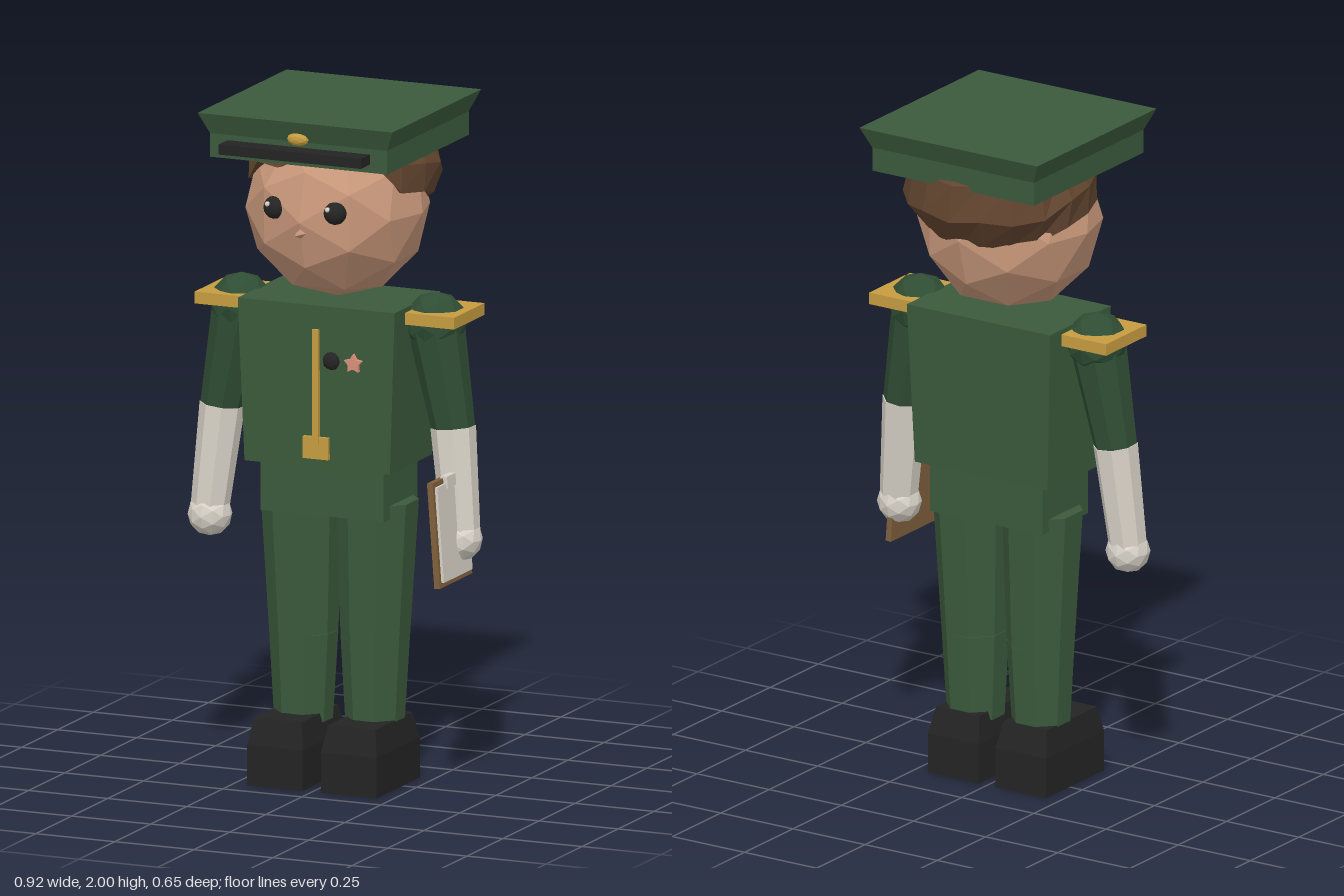
import * as THREE from 'three';

const mat = (name, color) => {
  const m = new THREE.MeshStandardMaterial({ color });
  m.name = name;
  return m;
};

// Faceted copy of a geometry
function flat(geo) {
  const g = geo.index ? geo.toNonIndexed() : geo;
  g.computeVertexNormals();
  return g;
}

// Surface through rings of equal point count (counter-clockwise from above, rings from bottom up)
function loft(rings, capped = true) {
  const n = rings[0].length, pos = [], idx = [];
  rings.forEach(r => r.forEach(p => pos.push(...p)));
  for (let k = 0; k < rings.length - 1; k++) {
    for (let i = 0; i < n; i++) {
      const a = k * n + i, b = k * n + (i + 1) % n;
      idx.push(a, b, b + n, a, b + n, a + n);
    }
  }
  if (capped) {
    const t = (rings.length - 1) * n;
    for (let i = 1; i < n - 1; i++) idx.push(0, i + 1, i, t, t + i, t + i + 1);
  }
  const g = new THREE.BufferGeometry();
  g.setAttribute('position', new THREE.Float32BufferAttribute(pos, 3));
  g.setIndex(idx);
  return flat(g);
}

// Tapered block from rows of [y, halfWidth, zBack, zFront]
const block = rows => loft(rows.map(([y, w, b, f]) =>
  [[-w, y, f], [w, y, f], [w, y, b], [-w, y, b]]));

const ball = (r, detail = 1) => flat(new THREE.IcosahedronGeometry(r, detail));

export function createModel() {
  const root = new THREE.Group();
  root.name = 'uniformedFigure';
  const green = mat('uniformGreen', 0x3b5a3c);
  const sleeve = mat('sleeveGreen', 0x2f4d34);
  const skin = mat('skin', 0xc8977a);
  const hairMat = mat('hairBrown', 0x62452f);
  hairMat.side = THREE.DoubleSide;
  const black = mat('black', 0x242424);
  const gold = mat('gold', 0xc69c40);
  const white = mat('gloveWhite', 0xd9d3c8);
  const wood = mat('boardBrown', 0x80603c);
  const pink = mat('medalPink', 0xd9907c);

  function add(name, geo, material, x = 0, y = 0, z = 0, parent = root) {
    const m = new THREE.Mesh(geo, material);
    m.name = name;
    m.position.set(x, y, z);
    parent.add(m);
    return m;
  }
  const box = (name, material, w, h, d, x, y, z, parent) =>
    add(name, new THREE.BoxGeometry(w, h, d), material, x, y, z, parent);

  // Eight-sided limb section from an upper point to a lower point
  function limb(name, material, top, bottom, rTop, rBottom) {
    const a = new THREE.Vector3(...top), b = new THREE.Vector3(...bottom);
    const dir = a.clone().sub(b);
    const geo = new THREE.CylinderGeometry(rTop, rBottom, dir.length(), 8);
    geo.rotateY(Math.PI / 8);
    const m = add(name, flat(geo), material);
    m.position.copy(a).add(b).multiplyScalar(0.5);
    m.quaternion.setFromUnitVectors(new THREE.Vector3(0, 1, 0), dir.normalize());
  }

  // Body
  add('jacket', block([[0.95, 0.23, -0.15, 0.143], [1.43, 0.248, -0.165, 0.15]]), green);
  add('hips', block([[0.8, 0.195, -0.125, 0.11], [0.96, 0.195, -0.125, 0.11]]), green);
  box('zip', gold, 0.02, 0.34, 0.02, 0, 1.19, 0.148);
  box('buckle', gold, 0.08, 0.065, 0.02, 0, 1.01, 0.146);
  add('button', ball(0.027), black, 0.047, 1.27, 0.148).scale.z = 0.6;

  // Star medal
  const star = new THREE.Shape();
  for (let i = 0; i < 10; i++) {
    const a = Math.PI / 2 + i * Math.PI / 5, r = i % 2 ? 0.016 : 0.029;
    star[i ? 'lineTo' : 'moveTo'](Math.cos(a) * r, Math.sin(a) * r);
  }
  add('medal', new THREE.ExtrudeGeometry(star, { depth: 0.018, bevelEnabled: false }),
    pink, 0.12, 1.27, 0.143);

  // Paired limbs
  for (const s of [1, -1]) {
    const side = s > 0 ? 'left' : 'right';
    limb(side + 'Thigh', green, [s * 0.12, 0.84, -0.013], [s * 0.113, 0.43, -0.012], 0.119, 0.1);
    limb(side + 'Shin', green, [s * 0.113, 0.43, -0.012], [s * 0.113, 0.17, -0.01], 0.1, 0.085);
    add(side + 'Shoe', block([[0, 0.088, -0.12, 0.18], [0.12, 0.088, -0.12, 0.18],
      [0.197, 0.075, -0.097, 0.16]]), black, s * 0.117);
    add(side + 'Shoulder', ball(0.091), sleeve, s * 0.307, 1.377, -0.008);
    box(side + 'Epaulette', gold, 0.155, 0.035, 0.21, s * 0.333, 1.403, -0.012);
    limb(side + 'UpperArm', sleeve, [s * 0.31, 1.36, -0.005], [s * 0.366, 1.07, 0], 0.083, 0.063);
    limb(side + 'Forearm', white, [s * 0.365, 1.075, 0], [s * 0.397, 0.77, 0.016], 0.066, 0.056);
    add(side + 'Hand', ball(0.065), white, s * 0.396, 0.752, 0.018);
  }

  // Clipboard in the left hand
  const clip = new THREE.Group();
  clip.name = 'clipboard';
  clip.position.set(0.391, 0.795, 0.082);
  clip.rotation.z = 0.075;
  root.add(clip);
  box('board', wood, 0.018, 0.31, 0.225, 0, 0, 0, clip);
  box('paper', white, 0.009, 0.28, 0.2, 0.0125, 0, 0, clip);
  box('clip', white, 0.022, 0.034, 0.075, 0.011, 0.143, 0.002, clip);

  // Head and face
  add('head', ball(0.268), skin, 0, 1.697, 0);
  const nose = new THREE.ConeGeometry(0.028, 0.08, 4);
  nose.rotateX(Math.PI / 2);
  add('nose', flat(nose), skin, 0, 1.665, 0.26);
  for (const s of [1, -1]) {
    add('eye', ball(0.034, 2), black, s * 0.095, 1.727, 0.226);
    add('eyeGlint', ball(0.008), white, s * 0.095 - 0.012, 1.741, 0.254);
  }

  // Hair: cap whose lower edge height follows the angle from the front
  const edge = [1.89, 1.89, 1.87, 1.77, 1.76, 1.74, 1.69, 1.68, 1.69, 1.675];
  const rings = [];
  for (let k = 0; k <= 5; k++) {
    const ring = [];
    for (let i = 0; i < 18; i++) {
      const a = i * Math.PI / 9, fringe = i === 16 || i === 17;
      const low = Math.asin(((fringe ? 1.84 : edge[Math.min(i, 18 - i)]) - 1.81) / 0.185);
      const e = low + (Math.PI / 2 - low) * Math.max(k - 1, 0) / 4;
      const c = Math.cos(e) * (k === 0 ? 0.85 : 1);
      ring.push([Math.sin(a) * c * 0.287, 1.81 + Math.sin(e) * 0.185, -0.05 + Math.cos(a) * c * 0.278]);
    }
    rings.push(ring);
  }
  add('hair', loft(rings, false), hairMat);

  // Cap
  add('cap', block([[1.868, 0.28, -0.295, 0.272], [1.938, 0.28, -0.295, 0.272],
    [2, 0.308, -0.32, 0.297]]), green);
  box('visor', black, 0.45, 0.03, 0.09, 0, 1.907, 0.288);
  add('capBadge', ball(0.034), gold, 0, 1.947, 0.277).scale.set(1, 0.6, 0.5);
  return root;
}
